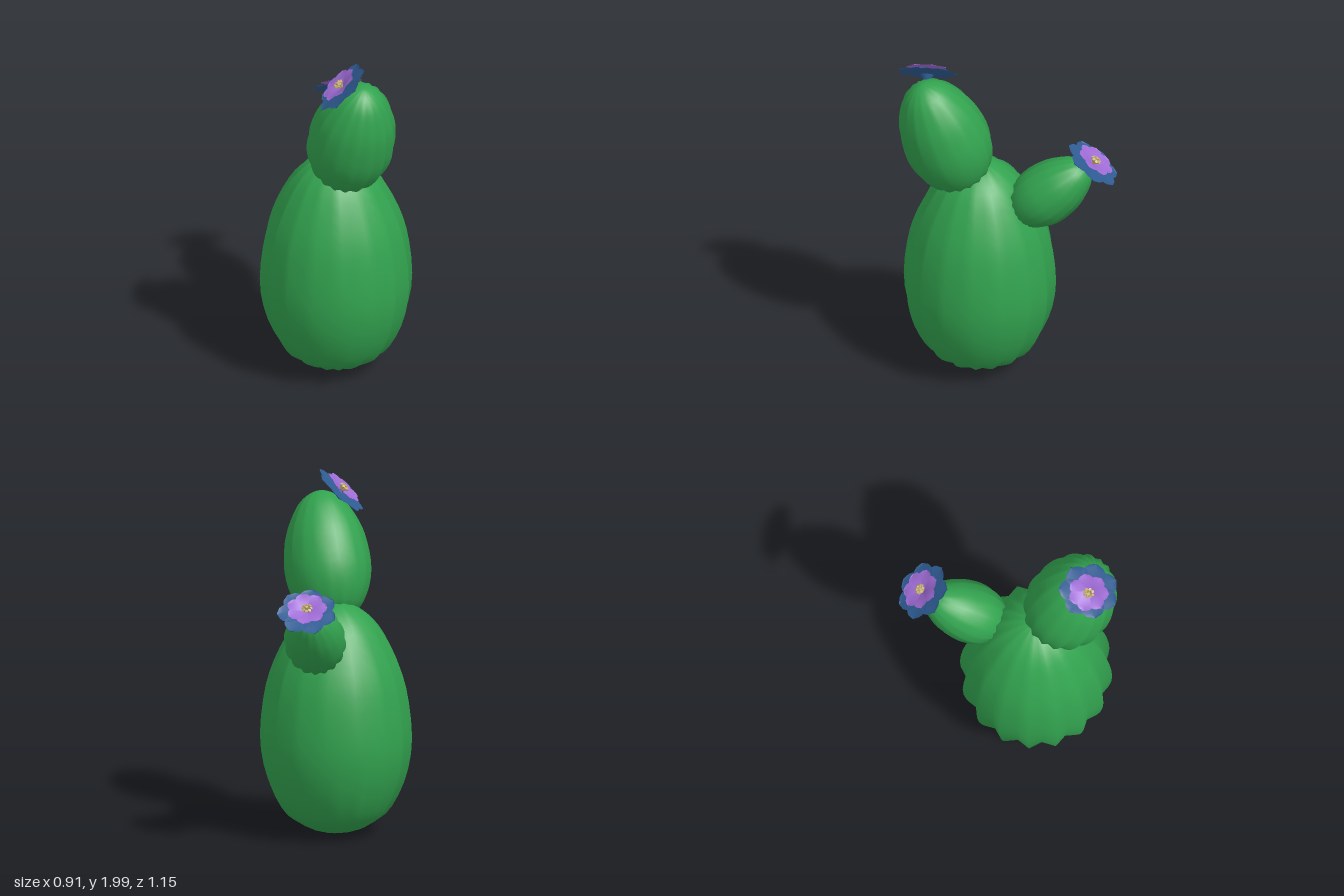
import * as THREE from 'three';
import { mergeVertices, mergeGeometries } from 'three/addons/utils/BufferGeometryUtils.js';

const RIBS = 16;
const UP = new THREE.Vector3(0, 1, 0);

// Egg-shaped half profile: radius and height as fractions
const PROFILE = new THREE.SplineCurve([
  [0, 0], [0.3, 0.022], [0.5, 0.055], [0.71, 0.11], [0.91, 0.24], [1, 0.4],
  [0.95, 0.59], [0.83, 0.73], [0.62, 0.865], [0.42, 0.94], [0.2, 0.985], [0, 1],
].map(([r, h]) => new THREE.Vector2(r, h)));

// Egg-shaped lobe with sharp ribs and smooth shading
function lobeGeometry(radius, length) {
  const points = PROFILE.getPoints(28).map(
    (p) => new THREE.Vector2(Math.max(0, p.x) * radius, p.y * length));
  points[0].x = points[points.length - 1].x = 0;
  const geo = new THREE.LatheGeometry(points, RIBS * 2);
  const pos = geo.attributes.position;
  for (let i = 0; i < pos.count; i++) {
    const column = Math.floor(i / points.length);
    const k = column % 2 ? 0.9 : 1; // every second column is a groove
    pos.setXYZ(i, pos.getX(i) * k, pos.getY(i), pos.getZ(i) * k);
  }
  geo.deleteAttribute('uv');
  geo.deleteAttribute('normal');
  const merged = mergeVertices(geo, 1e-5);
  merged.computeVertexNormals();
  return merged;
}

// One petal lying along +z, cupped across and lifted towards the tip
function petalGeometry(length, width, lift, cup) {
  const geo = new THREE.PlaneGeometry(2, 1, 4, 10);
  const pos = geo.attributes.position;
  for (let i = 0; i < pos.count; i++) {
    const v = pos.getX(i);
    const u = 0.5 - pos.getY(i);
    const half = width * 0.5 * (u < 0.62
      ? 0.3 + 0.7 * Math.sin((u / 0.62) * Math.PI / 2)
      : Math.pow(Math.max(0, 1 - ((u - 0.62) / 0.38) ** 2), 0.6));
    const y = lift * Math.sin(u * Math.PI * 0.6) + cup * v * v * u;
    pos.setXYZ(i, v * half, y, u * length);
  }
  geo.computeVertexNormals();
  return geo;
}

// Ring of evenly turned copies of a geometry
function ring(geo, count, offset = 0) {
  const copies = [];
  for (let i = 0; i < count; i++) {
    copies.push(geo.clone().rotateY(offset + (i / count) * Math.PI * 2));
  }
  return mergeGeometries(copies);
}

export function createModel() {
  const green = new THREE.MeshStandardMaterial({ color: 0x32a34f });
  green.name = 'cactus green';
  const blue = new THREE.MeshStandardMaterial({ color: 0x2f5c94, side: THREE.DoubleSide });
  blue.name = 'petal blue';
  const purple = new THREE.MeshStandardMaterial({ color: 0x9f6cd6, side: THREE.DoubleSide });
  purple.name = 'petal purple';
  const tan = new THREE.MeshStandardMaterial({ color: 0xcdb67c });
  tan.name = 'stamen tan';

  const model = new THREE.Group();
  model.name = 'cactus';

  function add(parent, name, geo, material) {
    const mesh = new THREE.Mesh(geo, material);
    mesh.name = name;
    parent.add(mesh);
    return mesh;
  }

  function lobe(name, radius, base, tip) {
    const a = new THREE.Vector3(...base);
    const axis = new THREE.Vector3(...tip).sub(a);
    const mesh = add(model, name, lobeGeometry(radius, axis.length()), green);
    mesh.position.copy(a);
    mesh.quaternion.setFromUnitVectors(UP, axis.normalize());
  }

  // Body and its two offshoots
  lobe('body', 0.423, [-0.037, 0.005, 0.112], [-0.037, 1.32, 0.112]);
  lobe('upperLobe', 0.243, [-0.045, 1.19, 0.19], [-0.04, 1.875, 0.452]);
  lobe('sideLobe', 0.172, [0.11, 1.03, -0.05], [0.262, 1.365, -0.42]);

  // Flower parts: outer petals, raised inner petals, stamens
  const outer = ring(petalGeometry(0.168, 0.13, 0.008, 0.006), 7);
  const inner = ring(petalGeometry(0.115, 0.088, 0.026, 0.005), 7, Math.PI / 7).translate(0, 0.01, 0);
  const stamen = new THREE.CylinderGeometry(0.009, 0.004, 0.045, 6)
    .translate(0, 0.0225, 0).rotateX(0.6);
  const stamens = mergeGeometries([
    ring(stamen, 8),
    new THREE.CylinderGeometry(0.009, 0.009, 0.045, 6).translate(0, 0.0225, 0),
  ]).translate(0, 0.01, 0);
  const receptacle = new THREE.CylinderGeometry(0.04, 0.02, 0.03, 10).translate(0, -0.015, 0);

  function flower(name, position, normal, spin) {
    const group = new THREE.Group();
    group.name = name;
    add(group, 'outerPetals', outer, blue);
    add(group, 'innerPetals', inner, purple);
    add(group, 'stamens', stamens, tan);
    add(group, 'receptacle', receptacle, blue);
    group.position.set(...position);
    group.quaternion.setFromUnitVectors(UP, new THREE.Vector3(...normal).normalize());
    group.rotateY(spin);
    model.add(group);
  }

  flower('upperFlower', [-0.135, 1.872, 0.388], [-0.62, 0.72, -0.25], 0.1);
  flower('sideFlower', [0.286, 1.388, -0.437], [0.2, 0.8, -0.54], 0.42);

  return model;
}
